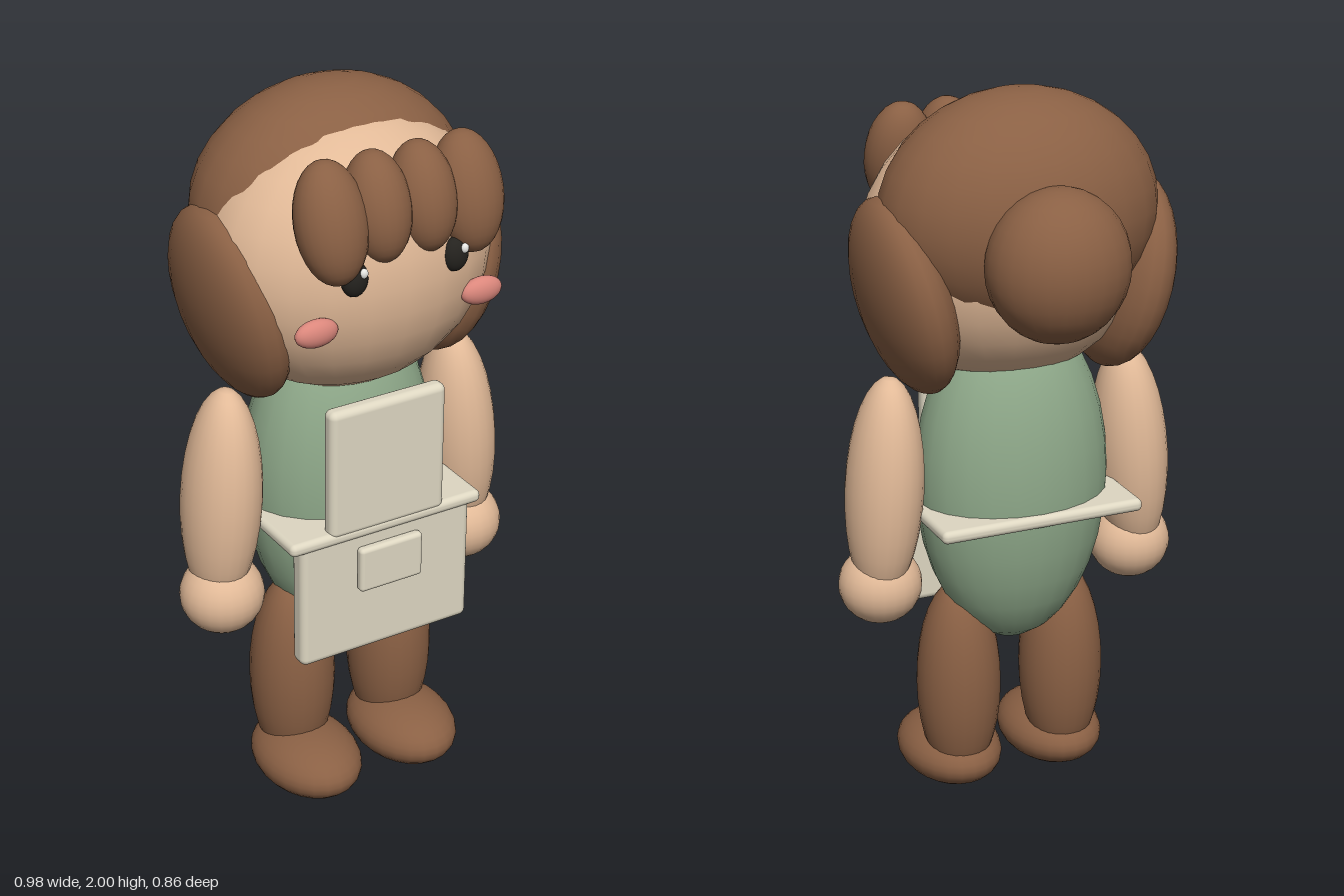
import * as THREE from 'three';
import { RoundedBoxGeometry } from 'three/addons/geometries/RoundedBoxGeometry.js';

function mat(name, color) {
  const m = new THREE.MeshStandardMaterial({ color });
  m.name = name;
  return m;
}

export function createModel() {
  const group = new THREE.Group();
  const hair = mat('brown', 0x8a6044);
  const skin = mat('skin', 0xe2ba98);
  const green = mat('sage green', 0x8fa98a);
  const cream = mat('cream', 0xded7c2);
  const pink = mat('blush pink', 0xdb877c);
  const dark = mat('eye black', 0x25231f);
  const white = mat('highlight white', 0xf4f4f0);

  const ball = new THREE.SphereGeometry(1, 24, 16);

  function add(name, geometry, material, pos) {
    const mesh = new THREE.Mesh(geometry, material);
    mesh.name = name;
    mesh.position.set(...pos);
    group.add(mesh);
    return mesh;
  }
  // Ellipsoid with the given centre, radii and tilt
  function blob(name, material, pos, radii, rot = [0, 0, 0]) {
    const mesh = add(name, ball, material, pos);
    mesh.scale.set(...radii);
    mesh.rotation.set(...rot);
    return mesh;
  }
  // Softly rounded slab
  function slab(name, pos, size, r) {
    return add(name, new RoundedBoxGeometry(...size, 3, r), cream, pos);
  }

  // Head and hair
  blob('head', skin, [0, 1.58, 0.1], [0.4, 0.37, 0.31]);
  blob('hairCap', hair, [0, 1.68, 0.02], [0.38, 0.32, 0.28]);
  blob('hairBun', hair, [0.02, 1.61, -0.265], [0.19, 0.2, 0.167]);
  for (let i = 0; i < 4; i++) {
    const outer = i === 0 || i === 3;
    blob('fringeLock', hair, [-0.185 + i * 0.13, outer ? 1.77 : 1.785, 0.34],
      [outer ? 0.093 : 0.085, outer ? 0.155 : 0.14, 0.085], [-0.3, 0, 0]);
  }

  // Body
  blob('torso', green, [0, 0.93, 0.07], [0.27, 0.48, 0.21]);

  // Mirrored parts
  for (const s of [1, -1]) {
    const side = s > 0 ? 'left' : 'right';
    blob(side + 'SideHair', hair, [s * 0.31, 1.475, 0.055], [0.11, 0.27, 0.237], [0, 0, -s * 0.22]);
    blob(side + 'Eye', dark, [s * 0.145, 1.63, 0.385], [0.036, 0.046, 0.026]);
    blob(side + 'EyeHighlight', white, [s * 0.145 + 0.014, 1.65, 0.406], [0.011, 0.013, 0.009]);
    blob(side + 'Cheek', pink, [s * 0.24, 1.5, 0.365], [0.06, 0.037, 0.026]);
    blob(side + 'Arm', skin, [s * 0.363, 0.935, 0.085], [0.104, 0.315, 0.121], [0, 0, s * 0.07]);
    blob(side + 'Hand', skin, [s * 0.375, 0.657, 0.1], [0.114, 0.108, 0.112]);
    blob(side + 'Leg', hair, [s * 0.155, 0.33, 0.085], [0.117, 0.3, 0.121]);
    blob(side + 'Foot', hair, [s * 0.155, 0.094, 0.16], [0.14, 0.09, 0.19]);
  }

  // Apron
  slab('apronBib', [0, 1.05, 0.302], [0.345, 0.37, 0.05], 0.02);
  slab('apronSkirt', [0, 0.685, 0.292], [0.515, 0.37, 0.06], 0.02);
  slab('apronPocket', [0, 0.76, 0.333], [0.19, 0.13, 0.03], 0.012);
  slab('apronBelt', [0, 0.866, 0.087], [0.58, 0.036, 0.48], 0.016);

  return group;
}
